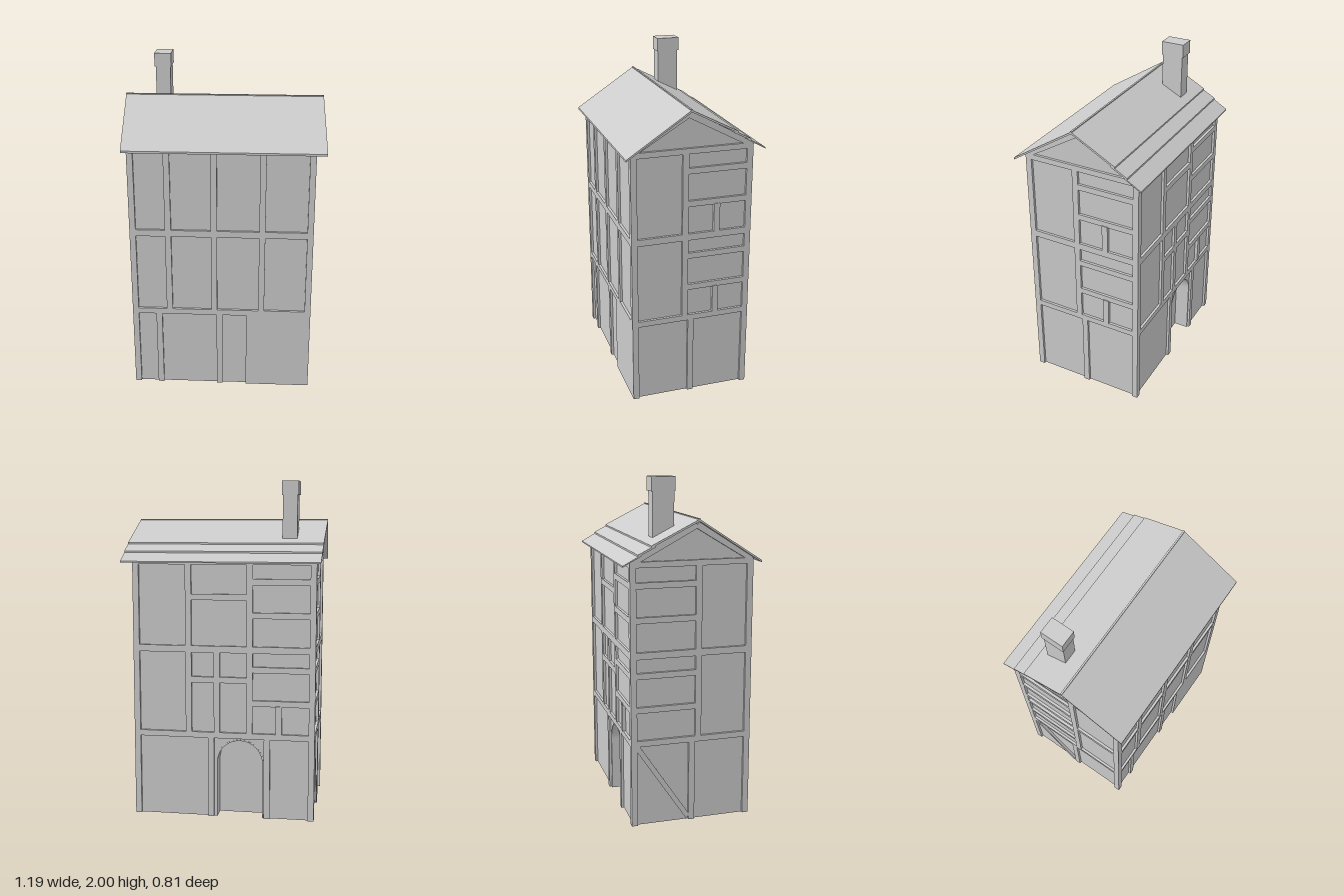
import * as THREE from 'three';

const mat = new THREE.MeshStandardMaterial({ color: 0xcccccc, flatShading: true, side: THREE.DoubleSide });
const X0 = -0.54, X1 = 0.515, Z = 0.345, OUT = 0.015, W = 0.036;
const RIDGE_Z = 0.025, RIDGE_Y = 1.765, EAVE_Y = 1.53;

function add(parent, name, geo) {
  const m = new THREE.Mesh(geo, mat);
  m.name = name;
  parent.add(m);
  return m;
}

// Box given by its limits
function box(parent, name, x0, x1, y0, y1, z0, z1) {
  const m = add(parent, name, new THREE.BoxGeometry(x1 - x0, y1 - y0, z1 - z0));
  m.position.set((x0 + x1) / 2, (y0 + y1) / 2, (z0 + z1) / 2);
  return m;
}

// A wall group: local x runs along the wall, local z points outwards
function wall(parent, name, x, z, turn) {
  const g = new THREE.Group();
  g.name = name;
  g.position.set(x, 0, z);
  g.rotation.y = turn;
  parent.add(g);
  return g;
}

const beam = (g, name, u0, u1, y0, y1, out = OUT) => box(g, name, u0, u1, y0, y1, -0.02, out);
const post = (g, u, y0, y1) => beam(g, 'post', u, u + W, y0, y1);

// Sloping timber between two points of a wall
function brace(g, name, u0, y0, u1, y1, w = W) {
  const m = add(g, name, new THREE.BoxGeometry(Math.hypot(u1 - u0, y1 - y0), w, OUT + 0.02));
  m.position.set((u0 + u1) / 2, (y0 + y1) / 2, (OUT - 0.02) / 2);
  m.rotation.z = Math.atan2(y1 - y0, u1 - u0);
}

// Floor beams and corner posts of one wall
function frame(g, u0, u1) {
  for (const [a, b] of [[0.485, 0.52], [1.0, 1.04], [1.517, 1.55]]) beam(g, 'floorBeam', u0, u1, a, b);
  post(g, u0, 0, 1.53);
  post(g, u1 - W, 0, 1.53);
}

// Window bay: head and sill rails with an optional stud beneath
function bay(g, u0, u1, floor, stud) {
  const [y, head] = floor === 3 ? [1.04, 1.4] : [0.52, 0.885];
  beam(g, 'headRail', u0, u1, head, head + 0.035);
  beam(g, 'sillRail', u0, u1, y + 0.165, y + 0.2);
  if (stud !== undefined) beam(g, 'stud', stud, stud + W, y, y + 0.17, OUT + 0.005);
}

function archOutline(path, x0, x1, spring) {
  path.moveTo(x1, 0);
  path.lineTo(x1, spring);
  path.absarc((x0 + x1) / 2, spring, (x1 - x0) / 2, 0, Math.PI, false);
  path.lineTo(x0, 0);
  path.closePath();
  return path;
}

// Thin roof sheet between two depths; the ends lean slightly
function roofSheet(parent, name, zBack, yBack, zFront, yFront, t = 0.012) {
  const geo = new THREE.BoxGeometry(1, 1, 1);
  const p = geo.attributes.position;
  for (let i = 0; i < p.count; i++) {
    const front = p.getZ(i) > 0;
    const z = front ? zFront : zBack, y = front ? yFront : yBack;
    const lean = 0.015 * Math.abs(z - RIDGE_Z) / 0.4;
    p.setXYZ(i, (p.getX(i) > 0 ? 0.575 : -0.595) + lean, y + (p.getY(i) > 0 ? t : 0), z);
  }
  geo.computeVertexNormals();
  add(parent, name, geo);
}

export function createModel() {
  const house = new THREE.Group();
  house.name = 'timberHouse';

  // Front wall
  const front = wall(house, 'frontWall', 0, Z, 0);
  const plane = new THREE.PlaneGeometry(X1 - X0, EAVE_Y + 0.02);
  plane.translate((X0 + X1) / 2, (EAVE_Y + 0.02) / 2, 0);
  add(front, 'frontPanel', plane);
  frame(front, X0 - OUT, X1 + OUT);
  for (const u of [-0.345, -0.073, 0.212]) post(front, u, 0.5, 1.53);
  for (const u of [-0.411, -0.041, 0.14]) post(front, u, 0, 0.5);
  beam(front, 'groundPanel', 0.14, X1 + OUT, 0, 0.5);

  // Back wall with arched opening (local x is mirrored)
  const back = wall(house, 'backWall', 0, -Z, Math.PI);
  const A0 = -0.025, A1 = 0.245, SPRING = 0.335;
  const backShape = new THREE.Shape();
  backShape.moveTo(-X1, 0);
  backShape.lineTo(A0, 0);
  backShape.lineTo(A0, SPRING);
  backShape.absarc((A0 + A1) / 2, SPRING, (A1 - A0) / 2, Math.PI, 0, true);
  backShape.lineTo(A1, 0);
  backShape.lineTo(-X0, 0);
  backShape.lineTo(-X0, 1.55);
  backShape.lineTo(-X1, 1.55);
  add(back, 'backPanel', new THREE.ShapeGeometry(backShape, 16));
  frame(back, -X1 - OUT, -X0 + OUT);
  for (const u of [-0.215, 0.15]) post(back, u, 0.5, 1.53);
  for (const u of [-0.08, 0.255]) post(back, u, 0, 0.5);
  beam(back, 'rail', -0.2, 0.16, 1.31, 1.345);
  beam(back, 'rail', -0.2, 0.16, 0.82, 0.855);
  post(back, -0.045, 0.52, 1.0);
  bay(back, 0.17, 0.53, 3);
  bay(back, 0.17, 0.53, 2, 0.325);

  // Arch lining and recessed door
  const rim = new THREE.Shape();
  rim.moveTo(A1 + 0.008, 0);
  rim.lineTo(A1 + 0.008, SPRING);
  rim.absarc((A0 + A1) / 2, SPRING, (A1 - A0) / 2 + 0.008, 0, Math.PI, false);
  rim.lineTo(A0 - 0.008, 0);
  rim.lineTo(A0, 0);
  rim.lineTo(A0, SPRING);
  rim.absarc((A0 + A1) / 2, SPRING, (A1 - A0) / 2, Math.PI, 0, true);
  rim.lineTo(A1, 0);
  const lining = add(back, 'archLining',
    new THREE.ExtrudeGeometry(rim, { depth: 0.092, bevelEnabled: false, curveSegments: 16 }));
  lining.position.z = -0.09;
  const door = add(back, 'door', new THREE.ShapeGeometry(archOutline(new THREE.Shape(), A0, A1, SPRING), 16));
  door.position.z = -0.088;

  // Side walls with gables; s turns the world depth into the local direction
  for (const s of [-1, 1]) {
    const side = s < 0 ? wall(house, 'leftWall', X1, 0, Math.PI / 2) : wall(house, 'rightWall', X0, 0, -Math.PI / 2);
    const span = (a, b) => [Math.min(s * a, s * b), Math.max(s * a, s * b)];
    const gable = new THREE.Shape();
    gable.moveTo(-Z, 0);
    gable.lineTo(Z, 0);
    gable.lineTo(Z, 1.55);
    gable.lineTo(s * RIDGE_Z, RIDGE_Y);
    gable.lineTo(-Z, 1.55);
    add(side, 'gablePanel', new THREE.ShapeGeometry(gable));
    frame(side, -Z - OUT, Z + OUT);
    post(side, span(0.022, 0.058)[0], 0.5, 1.53);
    post(side, span(-0.016, 0.02)[0], 0, 0.5);
    const [b0, b1] = span(-0.35, 0.03);
    for (const floor of [2, 3]) bay(side, b0, b1, floor, s < 0 ? 0.13 : undefined);
    // Rafters
    brace(side, 'rafter', s * 0.35, 1.546, s * RIDGE_Z, RIDGE_Y - 0.022);
    brace(side, 'rafter', s * -0.35, 1.543, s * RIDGE_Z, RIDGE_Y - 0.022);
    // Diagonal brace on one side only
    if (s > 0) brace(side, 'diagonalBrace', -0.33, 0.49, -0.02, 0.02, 0.03);
  }

  // Roof: one front sheet, three overlapping back sheets, ridge strip
  const roof = new THREE.Group();
  roof.name = 'roof';
  house.add(roof);
  const yb = (z) => RIDGE_Y - (RIDGE_Z - z) * (RIDGE_Y - EAVE_Y) / 0.425;
  roofSheet(roof, 'frontRoof', RIDGE_Z, RIDGE_Y, 0.4, EAVE_Y - 0.005);
  roofSheet(roof, 'upperBackRoof', -0.245, yb(-0.245) + 0.012, RIDGE_Z, RIDGE_Y);
  roofSheet(roof, 'middleBackRoof', -0.32, yb(-0.32) + 0.006, -0.22, yb(-0.22) + 0.002);
  roofSheet(roof, 'lowerBackRoof', -0.405, yb(-0.405), -0.3, yb(-0.3), 0.008);
  box(roof, 'ridgeStrip', -0.595, 0.575, 1.762, 1.78, 0.02, 0.03);

  // Chimney
  const chimney = new THREE.Group();
  chimney.name = 'chimney';
  house.add(chimney);
  box(chimney, 'chimneyShaft', -0.427, -0.34, 1.6, 1.95, -0.196, -0.07);
  box(chimney, 'chimneyCap', -0.434, -0.334, 1.92, 2.0, -0.203, -0.065);

  return house;
}
